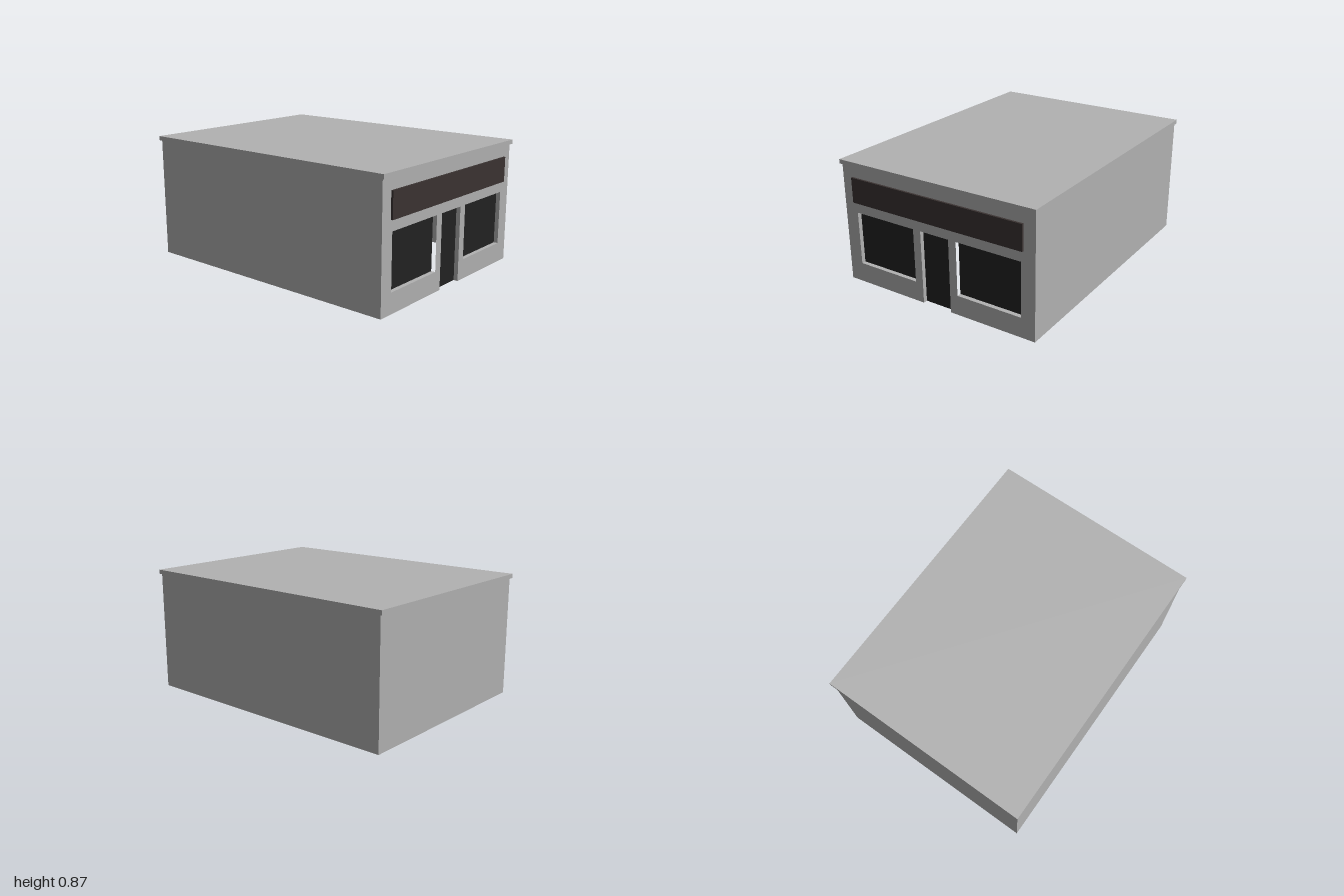
import * as THREE from 'three';

export function createModel() {
  const model = new THREE.Group();
  const grey = new THREE.MeshStandardMaterial({ name: 'wallGrey', color: 0xb2b2b2, side: THREE.DoubleSide });
  const dark = new THREE.MeshStandardMaterial({ name: 'darkGlass', color: 0x222222, side: THREE.DoubleSide });
  const brown = new THREE.MeshStandardMaterial({ name: 'signBrown', color: 0x3b3332, side: THREE.DoubleSide });

  const W = 0.74, D = 0.985, H = 0.84, RECESS = 0.03;
  const win = { x0: 0.168, x1: 0.64, y0: 0.138, y1: 0.512 };
  const door = { x: 0.11, y: 0.512 };

  const add = (name, geometry, material, x, y, z) => {
    const mesh = new THREE.Mesh(geometry, material);
    mesh.name = name;
    mesh.position.set(x, y, z);
    model.add(mesh);
    return mesh;
  };
  const plane = (name, w, h, material, x, y, z, rx = 0, ry = 0) =>
    add(name, new THREE.PlaneGeometry(w, h), material, x, y, z).rotation.set(rx, ry, 0);

  // Front wall: a thin sheet with a doorway and two window openings
  const front = new THREE.Shape([
    [-W, 0], [-door.x, 0], [-door.x, door.y], [door.x, door.y],
    [door.x, 0], [W, 0], [W, H], [-W, H],
  ].map(([x, y]) => new THREE.Vector2(x, y)));
  for (const s of [-1, 1]) {
    front.holes.push(new THREE.Path([
      [s * win.x0, win.y0], [s * win.x1, win.y0], [s * win.x1, win.y1], [s * win.x0, win.y1],
    ].map(([x, y]) => new THREE.Vector2(x, y))));
  }
  add('frontWall', new THREE.ShapeGeometry(front), grey, 0, 0, D);

  // Back and side walls, open underneath
  plane('backWall', 2 * W, H, grey, 0, H / 2, -D, 0, Math.PI);
  for (const s of [-1, 1]) {
    plane(s > 0 ? 'leftWall' : 'rightWall', 2 * D, H, grey, s * W, H / 2, 0, 0, s * Math.PI / 2);
  }

  // Roof slab with a slight overhang
  add('roof', new THREE.BoxGeometry(1.5, 0.03, 2), grey, 0, H + 0.015, 0);

  // Recessed windows with sill, head and outer jamb
  const ww = win.x1 - win.x0, wh = win.y1 - win.y0;
  const wx = (win.x0 + win.x1) / 2, wy = (win.y0 + win.y1) / 2;
  const zMid = D - RECESS / 2;
  for (const s of [-1, 1]) {
    const side = s > 0 ? 'left' : 'right';
    plane(side + 'WindowPane', ww, wh, dark, s * wx, wy, D - RECESS);
    plane(side + 'WindowSill', ww, RECESS, grey, s * wx, win.y0, zMid, -Math.PI / 2);
    plane(side + 'WindowHead', ww, RECESS, grey, s * wx, win.y1, zMid, Math.PI / 2);
    plane(side + 'WindowJamb', RECESS, wh, grey, s * win.x1, wy, zMid, 0, -s * Math.PI / 2);
    plane(side + 'DoorJamb', RECESS, door.y, grey, s * door.x, door.y / 2, zMid, 0, -s * Math.PI / 2);
  }

  // Recessed door
  plane('door', 2 * door.x, door.y, dark, 0, door.y / 2, D - RECESS);
  plane('doorHead', 2 * door.x, RECESS, grey, 0, door.y, zMid, Math.PI / 2);

  // Blank sign board, just proud of the front wall
  add('signBoard', new THREE.BoxGeometry(1.316, 0.175, 0.014), brown, 0, 0.673, D + 0.008);

  return model;
}
